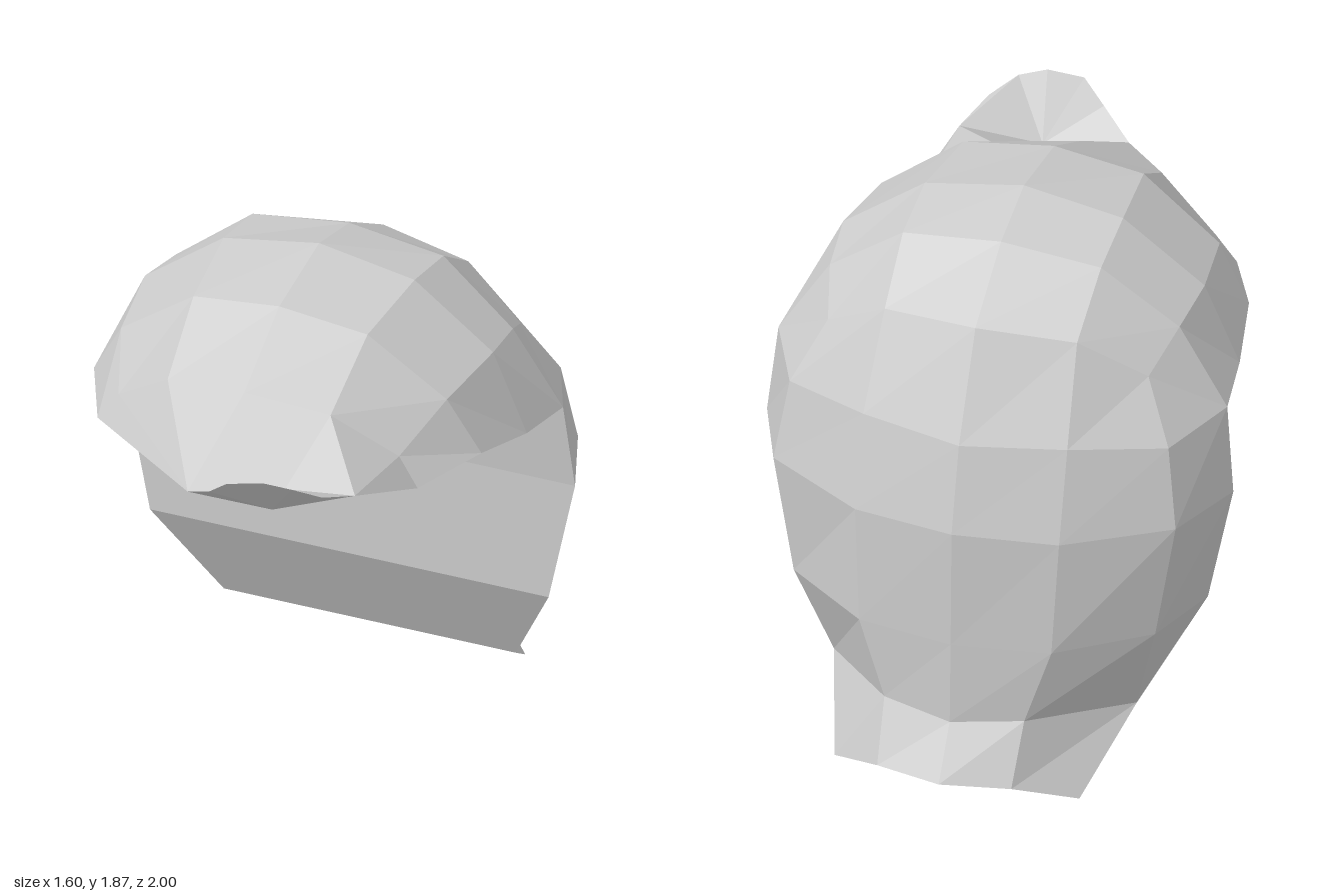
import * as THREE from 'three';

const material = new THREE.MeshStandardMaterial({ color: 0xcccccc, flatShading: true, side: THREE.DoubleSide });

// Joins neighbouring rows of points with flat facets, dropping collapsed ones
function sheet(name, rows) {
  const pos = [];
  const tri = (...corners) => {
    const p = corners.map((c) => new THREE.Vector3(...c));
    if (new THREE.Triangle(...p).getArea() > 1e-5) p.forEach((v) => pos.push(v.x, v.y, v.z));
  };
  for (let r = 0; r < rows.length - 1; r++) {
    for (let i = 0; i < rows[r].length - 1; i++) {
      const a = rows[r][i], b = rows[r][i + 1], c = rows[r + 1][i + 1], d = rows[r + 1][i];
      tri(a, b, c);
      tri(a, c, d);
    }
  }
  const geometry = new THREE.BufferGeometry();
  geometry.setAttribute('position', new THREE.Float32BufferAttribute(pos, 3));
  geometry.computeVertexNormals();
  const mesh = new THREE.Mesh(geometry, material);
  mesh.name = name;
  return mesh;
}

const flip = ([x, y, z]) => [-x, y, z];
// Centre-to-side half row mirrored into a full row
const mirror = (half) => [...half.slice(1).reverse().map(flip), ...half];

export function createModel() {
  const group = new THREE.Group();
  group.name = 'hair';

  // Outer shell, from the hairline over the crown to the flared nape
  const outer = [
    [[0, 1.64, 0.55], [0.29, 1.6, 0.51], [0.5, 1.45, 0.43], [0.57, 1.35, 0.44]],
    [[0, 1.81, 0.26], [0.31, 1.77, 0.25], [0.58, 1.57, 0.22], [0.69, 1.375, 0.19]],
    [[0, 1.87, -0.07], [0.34, 1.81, -0.07], [0.62, 1.6, -0.07], [0.74, 1.32, -0.07]],
    [[0, 1.81, -0.32], [0.34, 1.77, -0.31], [0.6, 1.57, -0.28], [0.77, 1.3, -0.3]],
    [[0, 1.65, -0.6], [0.33, 1.62, -0.54], [0.55, 1.48, -0.46], [0.77, 1.3, -0.3]],
    [[0, 1.3, -0.78], [0.35, 1.31, -0.71], [0.65, 1.28, -0.56], [0.77, 1.3, -0.3]],
    [[0, 1, -0.86], [0.35, 0.99, -0.8], [0.69, 1, -0.61], [0.8, 0.99, -0.33]],
    [[0, 0.57, -0.87], [0.33, 0.57, -0.82], [0.62, 0.57, -0.61], [0.71, 0.55, -0.32]],
    [[0, 0.27, -0.88], [0.24, 0.29, -0.83], [0.52, 0.2, -0.49], [0.52, 0.2, -0.49]],
    [[0, 0.1, -1], [0.23, 0.09, -0.94], [0.42, 0, -0.8], [0.42, 0, -0.8]],
  ].map(mirror);
  group.add(sheet('outerHair', outer));

  // Fringe swept to the left
  const tipRight = [-0.06, 1.43, 0.88], tipMid = [0.22, 1.4, 0.83], tipLeft = [0.48, 1.47, 0.75];
  const hairline = outer[0], sideRight = hairline[0], sideLeft = hairline[6];
  group.add(sheet('fringe', [
    [sideRight, tipRight, tipRight, tipMid, tipLeft, tipLeft, sideLeft],
    hairline,
  ]));

  // Thin upturned tip of the fringe
  group.add(sheet('fringeTip', [
    [tipRight, [0.05, 1.5, 0.96], [0.13, 1.57, 1], [0.25, 1.59, 0.98], [0.34, 1.57, 0.95], [0.42, 1.52, 0.88], tipLeft],
    [tipRight, tipRight, tipMid, tipMid, tipMid, tipLeft, tipLeft],
  ]));

  // Inner side: nape edge, flat strips behind the head, underside of the cap
  const across = ([x, y, z], mid = [Math.min(0.33, x * 0.6), y, z]) => mirror([[0, mid[1], mid[2]], mid, [x, y, z]]);
  group.add(sheet('innerHair', [
    mirror([[0, 0.1, -1], [0.23, 0.09, -0.94], [0.42, 0, -0.8]]),
    across([0.42, 0, -0.8]),
    across([0.52, 0.2, -0.49]),
    across([0.71, 0.55, -0.32]),
    across([0.8, 0.99, -0.33]),
    across([0.77, 1.3, -0.3], [0.33, 1.26, -0.24]),
    across([0.74, 1.32, -0.07]),
    across([0.69, 1.375, 0.19]),
    across([0.57, 1.35, 0.44]),
    [sideRight, tipRight, tipMid, tipLeft, sideLeft],
  ]));

  return group;
}
